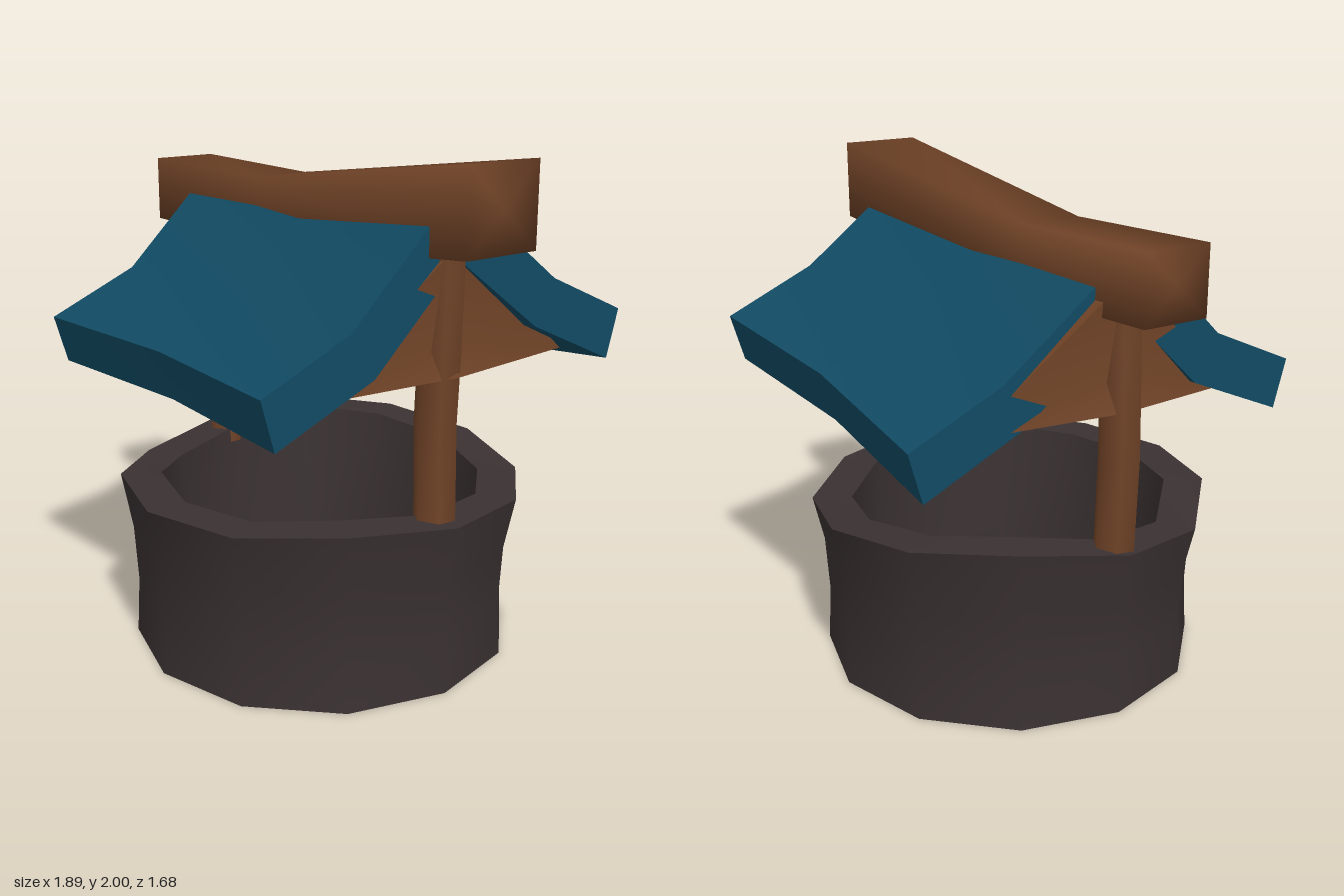
import * as THREE from 'three';
import { toCreasedNormals } from 'three/addons/utils/BufferGeometryUtils.js';

// Skins a list of equal-length rings of [x, y, z] points and caps both ends.
// Rings run counter-clockwise when seen from the last ring's side.
function loft(rings, crease) {
  const n = rings[0].length;
  const points = rings.flat();
  const index = [];
  for (let r = 0; r < rings.length - 1; r++) {
    for (let i = 0; i < n; i++) {
      const a = r * n + i, b = r * n + (i + 1) % n;
      index.push(a, b, b + n, a, b + n, a + n);
    }
  }
  for (const end of [0, rings.length - 1]) {
    const centre = [0, 1, 2].map(k => rings[end].reduce((s, p) => s + p[k], 0) / n);
    const c = points.push(centre) - 1;
    for (let i = 0; i < n; i++) {
      const a = end * n + i, b = end * n + (i + 1) % n;
      if (end === 0) index.push(c, b, a);
      else index.push(c, a, b);
    }
  }
  const geometry = new THREE.BufferGeometry();
  geometry.setAttribute('position', new THREE.Float32BufferAttribute(points.flat(), 3));
  geometry.setIndex(index);
  geometry.computeVertexNormals();
  return crease ? toCreasedNormals(geometry, crease) : geometry;
}

// Horizontal ring; y may be a number or a function of the corner index.
function ring(n, radius, cx, cz, y) {
  return Array.from({ length: n }, (_, i) => {
    const t = i / n * Math.PI * 2;
    return [cx + radius * Math.sin(t), typeof y === 'function' ? y(i) : y, cz + radius * Math.cos(t)];
  });
}

export function createModel() {
  const stone = new THREE.MeshStandardMaterial({ color: 0x3a3132 });
  stone.name = 'dark stone';
  const wood = new THREE.MeshStandardMaterial({ color: 0x704327 });
  wood.name = 'brown wood';
  const teal = new THREE.MeshStandardMaterial({ color: 0x114b64 });
  teal.name = 'teal roof';

  const model = new THREE.Group();
  model.name = 'well';
  const add = (name, geometry, material) => {
    const mesh = new THREE.Mesh(geometry, material);
    mesh.name = name;
    model.add(mesh);
  };

  // Twelve-sided wall with a flared, uneven rim and a hollow inside
  const rim = [0.685, 0.69, 0.715, 0.685, 0.665, 0.645, 0.685, 0.72, 0.745, 0.685, 0.645, 0.69];
  const rimY = i => rim[i];
  const wall = (radius, y) => ring(12, radius, 0.03, 0.03, y);
  add('stoneWall', loft([
    wall(0.77, 0), wall(0.757, 0.23), wall(0.77, 0.46), wall(0.812, rimY),
    wall(0.65, rimY), wall(0.62, 0.1),
  ], 0.75), stone);

  // Six-sided posts, slightly bent: [x, y] stations
  const posts = {
    leftPost: [[0.71, 0.62], [0.7, 1.05], [0.712, 1.3], [0.722, 1.75]],
    rightPost: [[-0.68, 0.62], [-0.697, 1.05], [-0.69, 1.3], [-0.675, 1.72]],
  };
  for (const [name, path] of Object.entries(posts)) {
    add(name, loft(path.map(([x, y]) => ring(6, 0.081, x, 0.025, y)), 1.2), wood);
  }

  // Crooked ridge beam: [x, yMin, yMax, zMin, zMax]
  const beam = [
    [-0.945, 1.595, 1.855, -0.085, 0.185],
    [-0.27, 1.575, 1.84, -0.11, 0.14],
    [0.945, 1.685, 2, -0.195, 0.127],
  ].map(([x, y0, y1, z0, z1]) => [[x, y1, z1], [x, y0, z1], [x, y0, z0], [x, y1, z0]]);
  add('ridgeBeam', loft(beam), wood);

  // Gable plates, thickest at the middle: [y, z, outer x]
  const gable = [[1.72, 0, 0.765], [1.22, 0.58, 0.69], [1.23, 0, 0.765], [1.23, -0.6, 0.69]];
  for (const side of [1, -1]) {
    const outer = gable.map(([y, z, x]) => [0.02 + side * x, y, z]);
    const inner = gable.map(([y, z]) => [0.02 + side * 0.63, y, z]);
    add(side > 0 ? 'leftGable' : 'rightGable', loft(side > 0 ? [inner, outer] : [outer, inner], 0.5), wood);
  }

  // Bent roof slabs, pinched in at mid length. Profile: [z, y], stations: [x, dz, dy]
  function roofSlab(name, profile, stations, side) {
    const rings = stations.map(([x, dz, dy]) => {
      const section = profile.map(([z, y]) => [x, y + dy, side * (z + dz)]);
      return side > 0 ? section : section.reverse();
    });
    add(name, loft(rings, 0.7), teal);
  }
  roofSlab('frontRoof',
    [[0.08, 1.825], [0.46, 1.455], [0.825, 1.295], [0.772, 1.105], [0.36, 1.28], [-0.04, 1.665]],
    [[-0.712, 0, -0.01], [0.03, -0.055, -0.005], [0.762, 0, 0]], 1);
  roofSlab('backRoof',
    [[0.08, 1.825], [0.47, 1.53], [0.838, 1.365], [0.785, 1.175], [0.38, 1.36], [-0.02, 1.66]],
    [[-0.69, 0, -0.127], [0.05, -0.05, -0.06], [0.785, 0, 0]], -1);

  return model;
}
